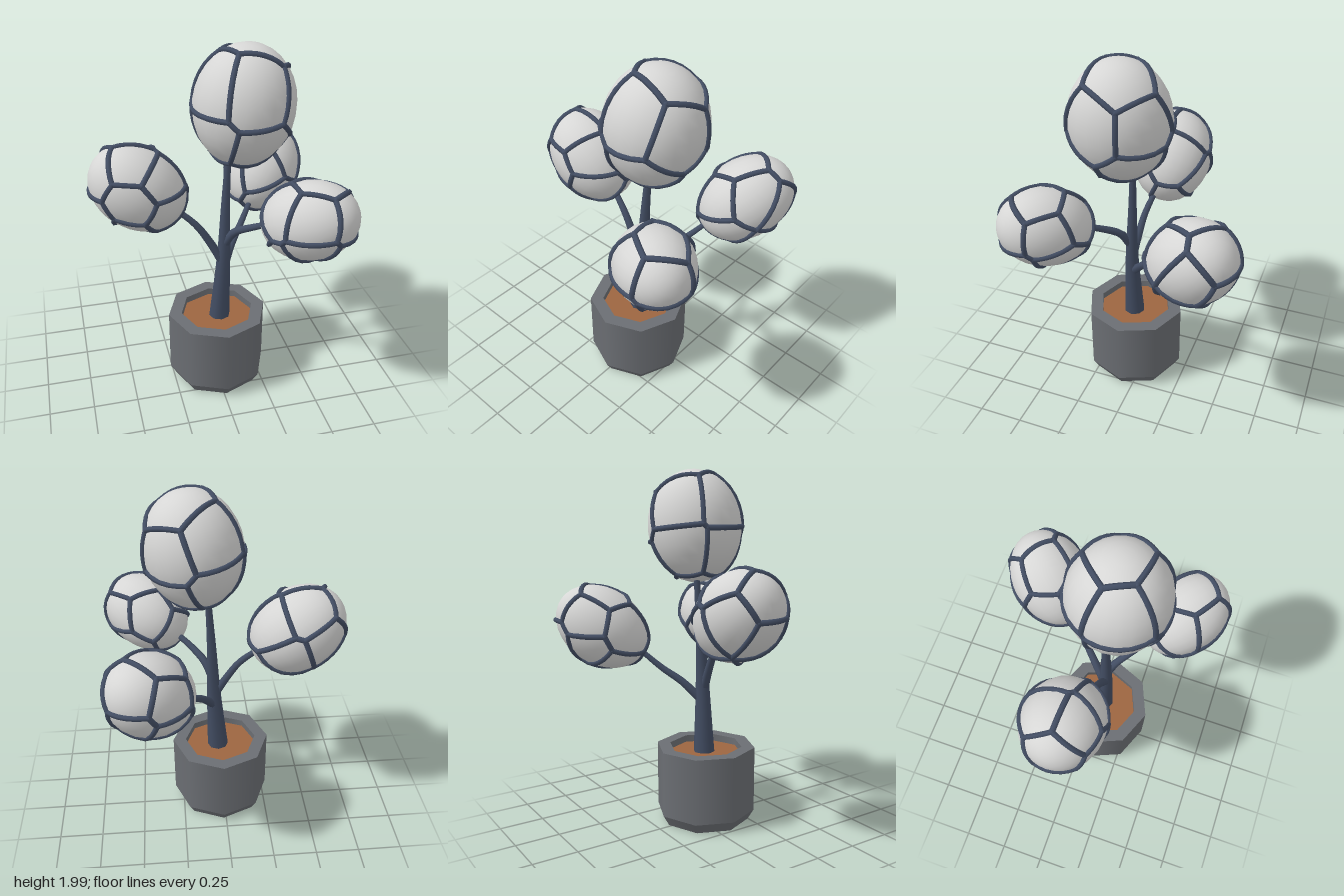
import * as THREE from 'three';
import { ConvexGeometry } from 'three/addons/geometries/ConvexGeometry.js';
import { mergeGeometries } from 'three/addons/utils/BufferGeometryUtils.js';

const V = (a) => new THREE.Vector3(...a);
const rad = THREE.MathUtils.degToRad;

function material(name, color) {
  const m = new THREE.MeshStandardMaterial({ color });
  m.name = name;
  return m;
}

function addMesh(parent, name, geometry, mat, y = 0) {
  const mesh = new THREE.Mesh(geometry, mat);
  mesh.name = name;
  mesh.position.y = y;
  parent.add(mesh);
}

// Tube along a curve whose radius shrinks from r0 to r1
function taperedTube(points, r0, r1, power = 1, segments = 12, sides = 8) {
  const curve = new THREE.CatmullRomCurve3(points.map(V));
  const geo = new THREE.TubeGeometry(curve, segments, 1, sides);
  const pos = geo.attributes.position, p = new THREE.Vector3();
  for (let i = 0; i < pos.count; i++) {
    const t = Math.floor(i / (sides + 1)) / segments;
    const c = curve.getPointAt(t);
    p.fromBufferAttribute(pos, i).sub(c).multiplyScalar(r1 + (r0 - r1) * (1 - t) ** power).add(c);
    pos.setXYZ(i, p.x, p.y, p.z);
  }
  return geo;
}

// Cell centres from tiers, each an elevation followed by its azimuths, in degrees
const cellCentres = (tiers) => tiers.flatMap(([elevation, ...azimuths]) =>
  azimuths.map((a) => new THREE.Vector3().setFromSphericalCoords(1, rad(90 - elevation), rad(a))));

// Borders between neighbouring cells on the unit sphere, as pairs of end points
function cellBorders(centres) {
  const pos = new ConvexGeometry(centres).attributes.position;
  const open = new Map(), borders = [];
  const key = (v) => v.toArray().map((n) => n.toFixed(4)).join();
  for (let i = 0; i < pos.count; i += 3) {
    const tri = [0, 1, 2].map((k) => new THREE.Vector3().fromBufferAttribute(pos, i + k));
    const corner = new THREE.Triangle(...tri).getNormal(new THREE.Vector3());
    for (let k = 0; k < 3; k++) {
      const edge = [key(tri[k]), key(tri[(k + 1) % 3])].sort().join('|');
      if (open.has(edge)) borders.push([open.get(edge), corner]);
      else open.set(edge, corner);
    }
  }
  return borders;
}

// Egg-shaped crown with a net of raised veins over it
function crown({ name, centre, axis, long, wide, tiers }, leafMat, veinMat) {
  const group = new THREE.Group();
  group.name = name;
  group.position.set(...centre);
  const turn = new THREE.Quaternion().setFromUnitVectors(new THREE.Vector3(0, 1, 0), V(axis).normalize());
  const back = turn.clone().invert();

  const body = new THREE.SphereGeometry(1, 24, 16);
  body.scale(wide, long, wide).applyQuaternion(turn);
  addMesh(group, 'crownBody', body, leafMat);

  const onSurface = (d) => {
    const q = d.clone().applyQuaternion(back);
    return d.clone().divideScalar(Math.hypot(q.x / wide, q.y / long, q.z / wide));
  };
  const parts = [];
  for (const [a, b] of cellBorders(cellCentres(tiers))) {
    const path = [0, 0.25, 0.5, 0.75, 1].map((t) => onSurface(a.clone().lerp(b, t).normalize()));
    if (path[0].distanceTo(path[4]) > 0.004)
      parts.push(new THREE.TubeGeometry(new THREE.CatmullRomCurve3(path), 6, 0.015, 6));
    for (const p of [path[0], path[4]])
      parts.push(new THREE.SphereGeometry(0.016, 8, 6).translate(p.x, p.y, p.z));
  }
  addMesh(group, 'crownVeins', mergeGeometries(parts), veinMat);
  return group;
}

const CROWNS = [
  { name: 'topCrown', centre: [0.15, 1.68, 0.085], axis: [0.14, 1, 0], long: 0.315, wide: 0.265,
    tiers: [[66, 121], [32, -69, 5, -157], [12, 72, 142], [-34, -68, -149], [-51, 13, 142], [-90, 0]] },
  { name: 'rightCrown', centre: [-0.4, 1.235, -0.01], axis: [-0.8, 0.6, 0], long: 0.278, wide: 0.224,
    tiers: [[60, -13, -171], [28, 37, -85, 119], [-5, -17, -139], [-27, 39, 160, -84], [-58, -30, 111]] },
  { name: 'frontLeftCrown', centre: [0.42, 1.15, 0.4], axis: [0.75, 0.33, 0.57], long: 0.262, wide: 0.207,
    tiers: [[71, 98], [25, -90, -18, 180], [16, 53, 127], [-16, -124], [-39, 54, 142, -11], [-61, -90]] },
  { name: 'backLeftCrown', centre: [0.405, 1.115, -0.38], axis: [0.5, 0.55, -0.65], long: 0.28, wide: 0.218,
    tiers: [[72, -90], [33, 45, 152], [18, -16, -146], [2, 100, -73], [-14, 155], [-32, -148, 0], [-64, 69, -79]] },
];

const BRANCHES = [
  { name: 'rightBranch', path: [[.05, .75, .08], [-.02, .88, .065], [-.1, 1, .05], [-.26, 1.14, .01]] },
  { name: 'frontLeftBranch', path: [[.055, .87, .075], [.1, .965, .12], [.18, 1.03, .2], [.3, 1.1, .3]] },
  { name: 'backLeftBranch', path: [[.05, .69, .07], [.12, .8, -.02], [.2, .88, -.11], [.3, 1, -.22]] },
];

export function createModel() {
  const model = new THREE.Group();
  model.name = 'pottedTree';
  const potMat = material('potGrey', 0x6b6e73);
  const soilMat = material('soilBrown', 0x9c6540);
  const barkMat = material('barkBlue', 0x434e64);
  const leafMat = material('crownWhite', 0xd6d6d5);

  // Octagonal pot with a chamfered foot
  const pot = new THREE.Group();
  pot.name = 'pot';
  pot.position.set(0.015, 0, 0.07);
  model.add(pot);
  addMesh(pot, 'potWall', new THREE.CylinderGeometry(0.285, 0.285, 0.375, 8, 1, true), potMat, 0.2475);
  addMesh(pot, 'potFoot', new THREE.CylinderGeometry(0.285, 0.25, 0.06, 8), potMat, 0.03);
  addMesh(pot, 'potRim', new THREE.RingGeometry(0.21, 0.285, 8).rotateX(-Math.PI / 2), potMat, 0.435);
  // Mirroring the wall and negating its normals turns it to face inward
  const inner = new THREE.CylinderGeometry(0.21, 0.21, 0.06, 8, 1, true).scale(-1, 1, 1);
  inner.attributes.normal.array.forEach((n, i, normals) => { normals[i] = -n; });
  addMesh(pot, 'potInside', inner, potMat, 0.405);
  addMesh(pot, 'soil', new THREE.CircleGeometry(0.212, 8).rotateX(-Math.PI / 2), soilMat, 0.395);

  // Trunk and branches
  const trunkPath = [[.03, .38, .07], [.053, .8, .073], [.063, 1.1, .063], [.08, 1.42, .05]];
  addMesh(model, 'trunk', taperedTube(trunkPath, 0.062, 0.017, 1.4, 16), barkMat);
  for (const { name, path } of BRANCHES)
    addMesh(model, name, taperedTube(path, 0.026, 0.014), barkMat);

  // Crowns
  for (const c of CROWNS) model.add(crown(c, leafMat, barkMat));
  return model;
}
